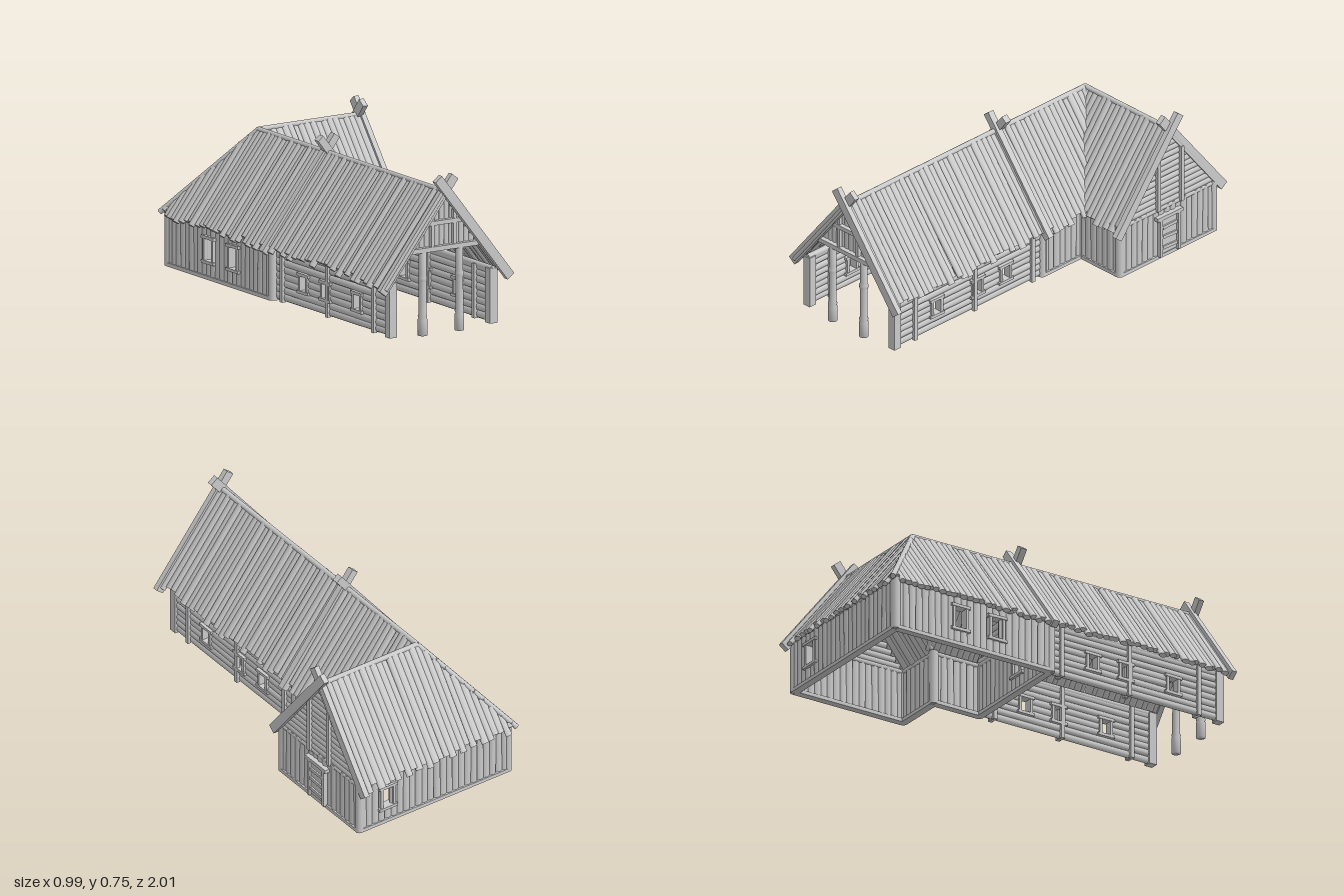
import * as THREE from 'three';
import { mergeGeometries } from 'three/addons/utils/BufferGeometryUtils.js';

const V = (x, y, z) => new THREE.Vector3(x, y, z);
const CX = -0.033, CZ = -0.605;            // lines of the main and the cross ridge
const EAVE = 0.325, SLOPE = 1.27;
const roofY = d => 0.66 - d * SLOPE;       // roof height at distance d from a ridge

export function createModel() {
  const parts = {};
  let seed = 7;
  const rnd = (k = 1) => {
    seed = (seed * 16807) % 2147483647;
    return (seed / 2147483647 - 0.5) * 2 * k;
  };
  const add = (name, g) => (parts[name] ??= []).push(g.toNonIndexed());

  // Timber from a to b: w across, h along the normal; sides = 0 gives a square beam
  function bar(name, a, b, w, h, normal, sides = 0) {
    const dir = b.clone().sub(a), len = dir.length();
    if (len < 0.004) return;
    const Y = dir.normalize();
    const X = Y.clone().cross(normal).normalize();
    const Z = X.clone().cross(Y);
    const g = sides ? new THREE.CylinderGeometry(0.5, 0.5, 1, sides) : new THREE.BoxGeometry(1, 1, 1);
    g.scale(w, len, h);
    g.applyMatrix4(new THREE.Matrix4().makeBasis(X, Y, Z).setPosition(a.clone().add(b).multiplyScalar(0.5)));
    add(name, g);
  }

  // Roof slope: uneven half-round planks between offsets from(s) and to(s)
  function slope(name, point, out, s0, s1, from, to) {
    const n = out.clone().multiplyScalar(SLOPE).add(V(0, 1, 0)).normalize();
    const count = Math.round((s1 - s0) / 0.031), step = (s1 - s0) / count;
    for (let i = 0; i < count; i++) {
      const s = s0 + (i + 0.5) * step;
      const a = from(s), b = to(s) + (to(s) >= EAVE ? rnd(0.012) : 0.008);
      if (b - a < 0.012) continue;
      const lift = n.clone().multiplyScalar(rnd(0.004));
      bar(name, point(s + rnd(0.003), a).add(lift), point(s + rnd(0.005), b).add(lift),
        0.039 + rnd(0.005), 0.024, n, 8);
    }
  }
  const full = () => EAVE, ridge = () => 0;
  slope('mainRoofRight', (s, d) => V(CX - d, roofY(d), s), V(-1, 0, 0), -0.92, 0.93, s => Math.max(0, CZ - s), full);
  slope('mainRoofLeft', (s, d) => V(CX + d, roofY(d), s), V(1, 0, 0), CZ, 0.93, ridge, s => Math.min(EAVE, s - CZ));
  slope('wingRoofBack', (s, d) => V(s, roofY(d), CZ - d), V(0, 0, -1), -0.35, 0.515, s => Math.max(0, CX - s), full);
  slope('wingRoofFront', (s, d) => V(s, roofY(d), CZ + d), V(0, 0, 1), CX, 0.515, ridge, s => Math.min(EAVE, s - CX));

  // Ridge, hip and valley poles
  const up = V(0, 1, 0), corner = V(CX, 0.662, CZ);
  bar('ridgePole', corner, V(CX, 0.662, 0.93), 0.026, 0.026, up, 8);
  bar('ridgePole', corner, V(0.52, 0.662, CZ), 0.026, 0.026, up, 8);
  bar('hipPole', corner, V(CX - EAVE, roofY(EAVE) + 0.008, CZ - EAVE), 0.026, 0.026, up, 8);
  bar('valleyPole', corner, V(CX + EAVE, roofY(EAVE) + 0.004, CZ + EAVE), 0.02, 0.02, up, 8);

  // Pair of verge boards crossing above the ridge
  function verge(name, centre, out, axis, wide, deep, lift) {
    for (const s of [-1, 1]) {
      const at = d => centre.clone().addScaledVector(out, s * d).addScaledVector(axis, s * 0.008).setY(roofY(d) + lift);
      bar(name, at(-0.05), at(0.345), wide, deep, axis);
    }
  }
  const X = V(1, 0, 0), Z = V(0, 0, 1);
  verge('frontVergeBoards', V(CX, 0, 0.925), X, Z, 0.044, 0.026, 0.005);
  verge('middleVergeBoards', V(CX, 0, -0.045), X, Z, 0.036, 0.032, 0.012);
  verge('wingVergeBoards', V(0.515, 0, CZ), Z, X, 0.044, 0.026, 0.005);

  // Wall of upright planks or lying logs; openings are [distance along, y0, y1, width]
  function wall(name, [x0, z0], [x1, z1], upright, openings = [], y0 = 0.015, y1 = 0.27) {
    const run = V(x1 - x0, 0, z1 - z0), len = run.length();
    run.normalize();
    const n = V(-run.z, 0, run.x);
    const at = (t, y) => V(x0, y, z0).addScaledVector(run, t);
    const span = upright ? len : y1 - y0;
    const count = Math.round(span / (upright ? 0.035 : 0.032)), step = span / count;
    for (let i = 0; i < count; i++) {
      const c = (i + 0.5) * step + (upright ? 0 : y0);
      let from = upright ? y0 : 0;
      const end = upright ? y1 : len;
      const piece = (a, b) => {
        const p = upright ? at(c + rnd(0.002), a) : at(a, c), q = upright ? at(c + rnd(0.002), b) : at(b, c + rnd(0.002));
        bar(name, p, q, step * 1.16, 0.026 + rnd(0.004), n, 8);
      };
      for (const [t, a, b, w] of openings) {
        const hit = upright ? Math.abs(c - t) < w / 2 : c > a && c < b;
        if (!hit) continue;
        piece(from, upright ? a : t - w / 2);
        from = upright ? b : t + w / 2;
      }
      piece(from, end);
    }
    // Window frames
    for (const [t, a, b, w] of openings) {
      for (const y of [a, b]) bar('windowFrames', at(t - w / 2 - 0.016, y), at(t + w / 2 + 0.016, y + rnd(0.003)), 0.014, 0.046, n);
      for (const s of [-1, 1]) bar('windowFrames', at(t + s * w / 2, a - 0.006), at(t + s * w / 2, b + 0.006), 0.014, 0.04, n);
    }
  }
  const win = (t, w = 0.058) => [t, 0.085, 0.168, w];

  // Open hall: log side walls with posts and wall plates
  for (const [side, x] of [['Right', -0.305], ['Left', 0.245]]) {
    wall('hallWall' + side, [x, -0.05], [x, 0.88], false, [win(0.24), win(0.42), win(0.68)]);
    bar('wallPlate' + side, V(x, 0.262, -0.06), V(x, 0.262, 0.9), 0.03, 0.03, up, 8);
    bar('hallEndPosts', V(x, 0.008, 0.885), V(x, 0.265, 0.885), 0.04, 0.04, Z);
    for (const z of [0.77, 0.39, 0.02])
      for (const s of [-1, 1]) bar('hallPosts', V(x + s * 0.015, 0.01, z), V(x + s * 0.015, 0.265, z), 0.02, 0.018, X);
  }

  // Back room: upright plank walls, sills and corner posts
  const room = [[-0.33, -0.05], [-0.33, -0.895], [0.5, -0.895], [0.5, -0.3], [0.25, -0.3], [0.25, -0.05]];
  const tall = (t, w = 0.07) => [t, 0.09, 0.205, w];
  const openings = [[tall(0.3), tall(0.5)], [tall(0.68)], [], [], [], [tall(0.33)]];
  room.forEach((p, i) => {
    const q = room[(i + 1) % room.length];
    wall(i === 5 ? 'partitionWall' : 'roomWalls', p, q, true, openings[i], 0.015, i === 5 ? 0.255 : 0.27);
    const a = V(p[0], 0.017, p[1]), b = V(q[0], 0.017, q[1]);
    bar('sills', a, b, 0.036, 0.018, up);
    bar('topBeams', a.setY(0.262), b.setY(0.262), 0.03, 0.028, up, 8);
    bar('cornerPosts', V(p[0], 0.01, p[1]), V(p[0], 0.275, p[1]), 0.042, 0.042, Z, 10);
  });

  // Log gables above the wing end and the partition
  for (let y = 0.285; y < 0.62; y += 0.03) {
    const h = (0.64 - y) / SLOPE;
    bar('wingGable', V(0.5, y, CZ - h), V(0.5, y + rnd(0.003), CZ + h), 0.035, 0.026, X, 8);
    bar('partitionGable', V(CX - h, y, -0.05), V(CX + h, y + rnd(0.003), -0.05), 0.035, 0.026, Z, 8);
  }
  for (const s of [-1, 1])
    bar('wingGablePosts', V(0.515, 0.26, CZ + s * 0.075), V(0.515, 0.545, CZ + s * 0.075), 0.02, 0.02, X);

  // Door in the wing gable
  const dz = CZ + 0.01;
  for (let i = -1; i <= 1; i++) bar('door', V(0.512, 0.03, dz + i * 0.032), V(0.512, 0.215, dz + i * 0.032), 0.031, 0.02, X);
  for (const y of [0.06, 0.115, 0.17]) bar('doorRails', V(0.524, y, dz - 0.045), V(0.524, y + rnd(0.006), dz + 0.045), 0.016, 0.012, X);
  for (const s of [-1, 1]) bar('doorFrame', V(0.515, 0.02, dz + s * 0.057), V(0.515, 0.225, dz + s * 0.057), 0.016, 0.034, X);
  bar('doorFrame', V(0.515, 0.222, dz - 0.08), V(0.515, 0.222, dz + 0.08), 0.018, 0.036, X);

  // Front truss: tie beam, collar and upright boards
  bar('tieBeam', V(CX - 0.195, 0.398, 0.9), V(CX + 0.195, 0.398, 0.9), 0.022, 0.034, Z);
  bar('collarBeam', V(CX - 0.1, 0.518, 0.9), V(CX + 0.1, 0.518, 0.9), 0.02, 0.032, Z);
  for (let i = -6; i <= 6; i++) {
    const x = CX + i * 0.027;
    bar('trussBoards', V(x, 0.398, 0.89), V(x + rnd(0.002), roofY(Math.abs(i) * 0.027) - 0.01, 0.89), 0.029, 0.014, Z, 8);
  }
  for (const s of [-1, 1]) bar('trussStruts', V(CX + s * 0.06, 0.4, 0.9), V(CX + s * 0.06, 0.57, 0.9), 0.016, 0.024, Z);

  // Turned porch posts
  const profile = [[0, 0], [0.022, 0], [0.022, 0.075], [0.018, 0.08], [0.022, 0.09], [0.018, 0.1], [0.0175, 0.25],
    [0.021, 0.256], [0.021, 0.272], [0.0175, 0.278], [0.0175, 0.39], [0, 0.39]].map(p => new THREE.Vector2(...p));
  for (const s of [-1, 1]) add('porchPosts', new THREE.LatheGeometry(profile, 14).translate(CX - 0.008 + s * 0.101, 0, 0.9));

  // One mesh per named part, on a slightly turned group
  const material = new THREE.MeshStandardMaterial({ color: 0xcccccc });
  const house = new THREE.Group();
  house.name = 'house';
  house.rotation.y = 0.14;
  for (const [name, list] of Object.entries(parts)) {
    const mesh = new THREE.Mesh(mergeGeometries(list), material);
    mesh.name = name;
    house.add(mesh);
  }
  const model = new THREE.Group();
  model.name = 'timberLonghouse';
  model.add(house);
  return model;
}
